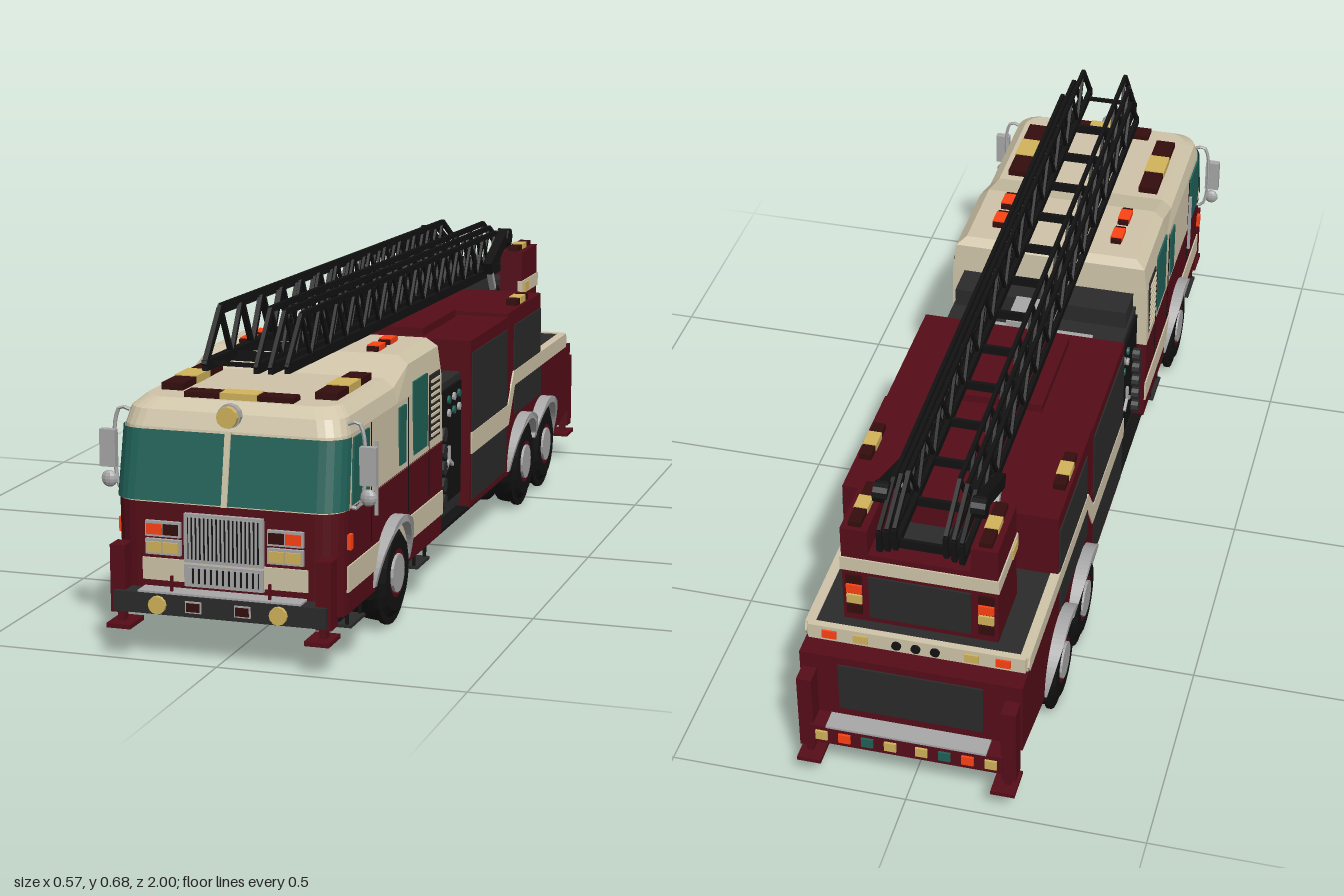
import * as THREE from 'three';

const RED = 0x560d18, CREAM = 0xd0c5a9, TEAL = 0x1f6258, DARK = 0x2b2b2b, BLACK = 0x121212;
const SILVER = 0xa8a8a8, ORANGE = 0xff4314, AMBER = 0xd2b45c, LENS = 0x350d0d;

export function createModel() {
  const root = new THREE.Group(), mats = {};
  let group = root;
  const mat = (c) => (mats[c] ??= new THREE.MeshStandardMaterial({ color: c, flatShading: true, side: THREE.DoubleSide }));
  const part = (name) => { group = new THREE.Group(); group.name = name; root.add(group); };
  const add = (name, color, geo) => {
    const m = new THREE.Mesh(geo, mat(color));
    m.name = name; group.add(m); return m;
  };
  // Box from ranges; pair() repeats it on both sides
  const box = (name, c, [x0, x1], [y0, y1], [z0, z1]) => add(name, c, new THREE.BoxGeometry(Math.abs(x1 - x0), y1 - y0, Math.abs(z1 - z0))
    .translate((x0 + x1) / 2, (y0 + y1) / 2, (z0 + z1) / 2));
  const pair = (name, c, [x0, x1], y, z) => [1, -1].forEach((s) => box(name, c, [s * x0, s * x1], y, z));
  const bar = (name, c, a, b, t, u = t) => {
    const A = new THREE.Vector3(...a), B = new THREE.Vector3(...b);
    const m = add(name, c, new THREE.BoxGeometry(t, u, A.distanceTo(B)));
    m.position.copy(A).add(B).multiplyScalar(0.5); m.lookAt(B);
  };
  // Cylinder lying along x or z
  const disc = (name, c, r, depth, x, y, z, axis = 'z', n = 12) => {
    const g = new THREE.CylinderGeometry(r, r, depth, n);
    add(name, c, (axis === 'z' ? g.rotateX(Math.PI / 2) : g.rotateZ(Math.PI / 2)).translate(x, y, z));
  };
  // Side outline of (z, y), extruded across x
  const extrude = (name, c, shape, x0, x1) => add(name, c, new THREE.ExtrudeGeometry(shape,
    { depth: x1 - x0, bevelEnabled: false, curveSegments: 14 }).rotateY(-Math.PI / 2).translate(x1, 0, 0));
  const outline = (pts) => new THREE.Shape(pts.map((p) => new THREE.Vector2(...p)));
  const plates = (name, c, pts, x, t = 0.004) => [x, -x - t].forEach((x0) => extrude(name, c, outline(pts), x0, x0 + t));
  const rect = (z0, z1, y0, y1) => [[z0, y0], [z1, y0], [z1, y1], [z0, y1]];

  // Cab: rounded plan outlines stacked upwards, the last one closed as a roof
  const arc = (w, zf, r) => Array.from({ length: 6 }, (_, i) => {
    const a = i / 5 * Math.PI / 2;
    return [w - r + r * Math.sin(a), zf - r + r * Math.cos(a)];
  });
  const loft = (name, c, rings, closed) => {
    const n = rings[0].length, idx = [], o = (rings.length - 1) * n;
    for (let k = 0; k < rings.length - 1; k++) for (let i = 0; i < (closed ? n : n - 1); i++) {
      const a = k * n + i, b = k * n + (i + 1) % n;
      idx.push(a, b, b + n, a, b + n, a + n);
    }
    if (closed) for (let i = 0; i < n / 2 - 1; i++) {
      const q = o + n - 1 - i;
      idx.push(o + i, o + i + 1, q - 1, o + i, q - 1, q);
    }
    const g = new THREE.BufferGeometry();
    g.setAttribute('position', new THREE.Float32BufferAttribute(rings.flat(2), 3));
    g.setIndex(idx); g.computeVertexNormals();
    add(name, c, g);
  };
  const cabRing = (w, zf, zb, r, y, step = 0) => {
    const half = [...arc(w, zf, r), [w, 0.57], [w, 0.47], [w, 0.3], [w, zb]]
      .map(([x, z]) => [x, y + step * THREE.MathUtils.clamp((0.57 - z) / 0.1, 0, 1), z]);
    return [...half, ...half.map(([x, h, z]) => [-x, h, z]).reverse()];
  };
  const glassRing = (w, zf, y) => {
    const a = arc(w, zf, 0.05).map(([x, z]) => [x, y, z]);
    return [...a.map(([x, , z]) => [-x, y, z]).reverse(), ...a];
  };
  part('cab');
  loft('lowerCab', RED, [cabRing(0.231, 0.947, 0.25, 0.05, 0.09), cabRing(0.233, 0.947, 0.25, 0.05, 0.297)], true);
  loft('upperCab', CREAM, [cabRing(0.233, 0.945, 0.25, 0.05, 0.295), cabRing(0.23, 0.918, 0.25, 0.05, 0.44),
    cabRing(0.222, 0.905, 0.252, 0.05, 0.472, 0.03), cabRing(0.2, 0.875, 0.265, 0.045, 0.491, 0.03)], true);
  loft('windshield', TEAL, [glassRing(0.2365, 0.9485, 0.3), glassRing(0.2335, 0.9225, 0.436)], false);
  bar('windshieldPost', CREAM, [0, 0.297, 0.948], [0, 0.44, 0.922], 0.012, 0.008);
  plates('doorWindow', TEAL, [[0.875, 0.302], [0.765, 0.302], [0.765, 0.432], [0.86, 0.432]], 0.231);
  plates('narrowWindow', TEAL, rect(0.52, 0.565, 0.31, 0.43), 0.231);
  plates('rearDoorWindow', TEAL, rect(0.365, 0.465, 0.31, 0.465), 0.23);
  plates('louvreFrame', DARK, rect(0.27, 0.345, 0.315, 0.455), 0.23, 0.003);
  for (let i = 0; i < 9; i++) plates('louvre', CREAM, rect(0.277, 0.338, 0.322 + i * 0.0145, 0.328 + i * 0.0145), 0.232);
  for (const z of [0.75, 0.5, 0.35]) plates('doorSeam', BLACK, rect(z, z + 0.003, 0.2, 0.44), 0.2325, 0.0015);
  pair('grabRail', SILVER, [0.236, 0.243], [0.25, 0.4], [0.735, 0.741]);
  plates('cabStripe', CREAM, rect(0.25, 0.9, 0.135, 0.187), 0.231);
  pair('markerLight', ORANGE, [0.23, 0.24], [0.22, 0.25], [0.885, 0.9]);
  for (const z of [0.84, 0.395]) pair('cabStep', DARK, [0.19, 0.235], [0.06, 0.066], [z - 0.045, z + 0.045]);
  for (const z of [0.8, 0.88, 0.355, 0.435]) pair('stepHanger', BLACK, [0.222, 0.228], [0.062, 0.1], [z - 0.003, z + 0.003]);

  // Roof lights: dark housing with a bright middle
  const beacon = (x, y, z, wx, wz, h, c, f) => {
    const gx = wx > wz ? wx * f : wx + 0.003, gz = wx > wz ? wz + 0.003 : wz * f;
    box('lightBar', LENS, [x - wx / 2, x + wx / 2], [y, y + h], [z - wz / 2, z + wz / 2]);
    box('lightLens', c, [x - gx / 2, x + gx / 2], [y, y + h + 0.002], [z - gz / 2, z + gz / 2]);
  };
  part('lights');
  beacon(0, 0.485, 0.845, 0.225, 0.04, 0.017, AMBER, 0.34);
  for (const s of [1, -1]) {
    beacon(s * 0.16, 0.488, 0.7, 0.045, 0.22, 0.017, AMBER, 0.33);
    for (const z of [0.345, 0.425]) beacon(s * 0.14, 0.518, z, 0.024, 0.06, 0.013, ORANGE, 0.7);
    beacon(s * 0.207, 0.478, -0.48, 0.026, 0.11, 0.014, AMBER, 0.4);
    beacon(s * 0.133, 0.563, -0.78, 0.026, 0.13, 0.012, AMBER, 0.3);
  }
  disc('bell', AMBER, 0.021, 0.035, 0, 0.47, 0.915);
  disc('bellRim', SILVER, 0.024, 0.015, 0, 0.47, 0.912);

  // Front face: grille, lamps, bumper and mirrors
  part('frontFace');
  box('frontStripe', CREAM, [-0.17, 0.17], [0.143, 0.187], [0.94, 0.951]);
  for (const [y0, y1, n, w] of [[0.185, 0.282, 17, 0.004], [0.137, 0.181, 12, 0.007]]) {
    box('grilleFrame', SILVER, [-0.081, 0.081], [y0, y1], [0.94, 0.957]);
    box('grilleOpening', BLACK, [-0.073, 0.073], [y0 + 0.007, y1 - 0.007], [0.945, 0.958]);
    for (let i = 0; i < n; i++) {
      const x = -0.068 + 0.136 * i / (n - 1);
      box('grilleBar', SILVER, [x - w / 2, x + w / 2], [y0 + 0.005, y1 - 0.005], [0.95, 0.961]);
    }
  }
  for (const [y, inner, outer] of [[0.231, LENS, ORANGE], [0.195, AMBER, AMBER]]) {
    pair('lampFrame', SILVER, [0.089, 0.162], [y, y + 0.031], [0.94, 0.955]);
    pair('innerLamp', inner, [0.093, 0.124], [y + 0.005, y + 0.026], [0.95, 0.959]);
    pair('outerLamp', outer, [0.127, 0.158], [y + 0.005, y + 0.026], [0.95, 0.959]);
  }
  box('frontBumper', DARK, [-0.218, 0.218], [0.085, 0.126], [0.9, 0.988]);
  box('bumperTread', SILVER, [-0.167, 0.167], [0.126, 0.13], [0.945, 0.985]);
  pair('towPin', RED, [0.098, 0.103], [0.126, 0.16], [0.97, 0.976]);
  pair('bumperLightFrame', SILVER, [0.034, 0.067], [0.094, 0.117], [0.98, 0.991]);
  pair('bumperLight', LENS, [0.037, 0.064], [0.097, 0.114], [0.98, 0.993]);
  pair('mirror', SILVER, [0.252, 0.285], [0.345, 0.42], [0.87, 0.886]);
  for (const s of [1, -1]) {
    disc('fogLight', AMBER, 0.018, 0.012, s * 0.124, 0.105, 0.99);
    const path = new THREE.CatmullRomCurve3([[0.225, 0.46], [0.245, 0.465], [0.256, 0.44], [0.256, 0.33], [0.245, 0.297], [0.228, 0.297]]
      .map(([x, y]) => new THREE.Vector3(s * x, y, 0.87)));
    add('mirrorBracket', SILVER, new THREE.TubeGeometry(path, 16, 0.004, 6));
    add('roundMirror', SILVER, new THREE.SphereGeometry(0.017, 10, 8).scale(1, 1, 0.6).translate(s * 0.268, 0.32, 0.878));
  }
  // Corner jacks with foot plates
  part('jacks');
  for (const [e, top] of [[1, 0.215], [-1, 0.26]]) {
    pair('jackHousing', RED, [0.195, 0.226], [0.08, top], [e * 0.94, e * 0.98]);
    pair('jackLeg', RED, [0.2, 0.214], [0.06, 0.1], [e * 0.955, e * 0.975]);
    pair('jackFoot', RED, [0.178, 0.228], [0.053, 0.062], [e * 0.93, e]);
  }
  // Pump bay between cab and body
  part('pumpBay');
  box('pumpCore', DARK, [-0.205, 0.205], [0.1, 0.4], [-0.01, 0.26]);
  box('pumpHousing', DARK, [-0.2, 0.2], [0.4, 0.442], [0.16, 0.24]);
  plates('pumpPanel', BLACK, rect(0.025, 0.24, 0.13, 0.385), 0.205, 0.006);
  box('waterCannonBox', SILVER, [-0.05, 0.05], [0.39, 0.462], [0.04, 0.14]);
  box('waterCannonCore', DARK, [-0.055, 0.055], [0.405, 0.447], [0.058, 0.122]);
  bar('waterCannonPipe', SILVER, [-0.14, 0.415, 0.08], [0.14, 0.415, 0.08], 0.014);
  for (const x of [0.213, -0.213]) {
    for (let i = 0; i < 6; i++) disc('gauge', i % 2 ? SILVER : TEAL, 0.009, 0.006, x, i < 3 ? 0.36 : 0.33, 0.05 + (i % 3) * 0.04, 'x');
    for (let i = 0; i < 5; i++) disc('outlet', DARK, 0.016, 0.03, x, 0.15 + i * 0.037, 0.205, 'x', 10);
    for (const a of [1.57, 3.67, 5.76]) bar('valveSpoke', SILVER, [x, 0.225, 0.13],
      [x, 0.225 + 0.032 * Math.sin(a), 0.13 + 0.032 * Math.cos(a)], 0.008);
  }
  // Equipment body and rear deck
  part('body');
  box('frontLocker', RED, [-0.228, 0.228], [0.09, 0.47], [0.01, -0.308]);
  box('rearLocker', RED, [-0.228, 0.228], [0.2, 0.478], [-0.314, -0.628]);
  box('roofHatch', RED, [-0.11, 0.11], [0.47, 0.488], [-0.02, -0.28]);
  extrude('lowerBody', RED, outline([[-0.3, 0.09], [-0.3, 0.298], [-0.94, 0.298], [-0.94, 0.13], [-0.72, 0.09]]), -0.23, 0.23);
  box('rearDeck', DARK, [-0.222, 0.222], [0.29, 0.331], [-0.6, -0.888]);
  plates('frontShutter', DARK, rect(-0.3, 0, 0.105, 0.442), 0.227);
  plates('upperRearShutter', DARK, rect(-0.622, -0.37, 0.33, 0.442), 0.227);
  plates('lowerRearShutter', DARK, rect(-0.622, -0.37, 0.228, 0.297), 0.229);
  plates('bodyStripe', CREAM, [[0.008, 0.213], [-0.315, 0.213], [-0.37, 0.298], [-0.885, 0.298], [-0.893, 0.312], [-0.885, 0.333],
    [-0.36, 0.333], [-0.308, 0.262], [0.008, 0.262]], 0.2285);
  pair('deckRail', CREAM, [0.212, 0.229], [0.298, 0.333], [-0.628, -0.888]);
  box('rearStripe', CREAM, [-0.225, 0.225], [0.298, 0.333], [-0.88, -0.895]);
  for (const x of [-0.04, 0, 0.04]) disc('rearPort', BLACK, 0.01, 0.006, x, 0.315, -0.897);
  for (const [x, c] of [[0.1, AMBER], [0.165, ORANGE]]) pair('deckLight', c, [x, x + 0.03], [0.306, 0.325], [-0.89, -0.899]);
  box('rearPanel', DARK, [-0.15, 0.15], [0.165, 0.28], [-0.935, -0.944]);
  box('rearBumper', RED, [-0.2, 0.2], [0.1, 0.145], [-0.9, -0.985]);
  box('rearStep', SILVER, [-0.167, 0.167], [0.145, 0.15], [-0.945, -0.988]);
  [AMBER, TEAL, ORANGE, AMBER].forEach((c, i) => pair('rearLight', c, [0.02 + i * 0.048, 0.045 + i * 0.048], [0.112, 0.134], [-0.98, -0.99]));
  box('underside', BLACK, [-0.226, 0.226], [0.085, 0.092], [0.93, -0.74]);

  // Twin tyres with raised arches; the rear arches meet between the axles
  part('wheels');
  const tyre = [[0.05, -0.035], [0.078, -0.035], [0.098, -0.02], [0.1, 0], [0.098, 0.02], [0.078, 0.035], [0.05, 0.035]].map((p) => new THREE.Vector2(...p));
  for (const [z, lo, hi] of [[0.614, 0, Math.PI], [-0.43, 0, Math.PI - 0.35], [-0.63, 0.35, Math.PI]]) for (const s of [1, -1]) {
    for (const x of [0.14, 0.21]) add('tyre', BLACK, new THREE.LatheGeometry(tyre, 18).rotateZ(Math.PI / 2).translate(s * x, 0.1, z));
    disc('rim', RED, 0.062, 0.12, s * 0.182, 0.1, z, 'x', 18);
    disc('hub', SILVER, 0.04, 0.13, s * 0.183, 0.1, z, 'x', 14);
    disc('wheelWell', BLACK, 0.106, 0.01, s * 0.23, 0.1, z, 'x', 24);
    const ring = new THREE.Shape().absarc(z, 0.1, 0.12, lo, hi, false).absarc(z, 0.1, 0.105, hi, lo, true);
    const p = extrude('wheelArch', SILVER, ring, s * 0.24 - 0.015, s * 0.24 + 0.015).geometry.attributes.position;
    for (let i = 0; i < p.count; i++) if (Math.abs(p.getX(i)) > 0.24)
      p.setX(i, s * (0.235 + 0.022 * THREE.MathUtils.clamp((p.getY(i) - 0.1) / 0.1, 0, 1)));
  }
  // Ladder tower
  part('tower');
  pair('towerPillar', RED, [0.105, 0.16], [0.33, 0.564], [-0.705, -0.855]);
  box('towerBack', RED, [-0.16, 0.16], [0.33, 0.505], [-0.8, -0.855]);
  box('towerTurntable', DARK, [-0.1, 0.1], [0.33, 0.49], [-0.72, -0.8]);
  pair('towerSideStripe', CREAM, [0.15, 0.163], [0.46, 0.492], [-0.703, -0.857]);
  box('towerBackStripe', CREAM, [-0.163, 0.163], [0.46, 0.492], [-0.85, -0.858]);
  box('towerPanel', DARK, [-0.105, 0.105], [0.345, 0.45], [-0.85, -0.859]);
  [LENS, AMBER, ORANGE, LENS].forEach((c, i) => pair('tailLamp', c, [0.12, 0.152], [0.35 + i * 0.026, 0.371 + i * 0.026], [-0.85, -0.86]));
  pair('towerSideLight', AMBER, [0.158, 0.166], [0.465, 0.487], [-0.72, -0.755]);

  // Nested ladder sections: rails, zigzag braces and rungs
  part('ladder');
  for (const [x, tip, low, high] of [[0.052, 0.905, 0, 0.016], [0.068, 0.87, -0.006, 0.006], [0.084, 0.82, -0.012, -0.006]]) {
    const yb = (z) => 0.525 + low + (z + 0.84) * 0.022, yt = (z) => 0.612 + high + (z + 0.73) * 0.024;
    const back = -0.73, front = tip - 0.085, heel = yb(-0.84), n = 13, pitch = (front - back) / n;
    for (const s of [x, -x]) {
      bar('bottomRail', BLACK, [s, heel, -0.84], [s, yb(tip), tip], 0.01, 0.02);
      bar('topRail', BLACK, [s, yt(back), back], [s, yt(front), front], 0.008, 0.012);
      bar('tipBrace', BLACK, [s, yb(tip), tip], [s, yt(front), front], 0.008, 0.012);
      bar('heelBrace', BLACK, [s, heel + 0.045, -0.84], [s, yt(back), back], 0.008, 0.012);
      bar('heelPost', BLACK, [s, heel, -0.84], [s, heel + 0.045, -0.84], 0.01, 0.014);
      for (let i = 0; i < n; i++) for (const d of [0, 1]) {
        const zt = back + (i + d) * pitch, zm = back + (i + 0.5) * pitch;
        bar('brace', BLACK, [s, yt(zt), zt], [s, yb(zm), zm], 0.006, 0.009);
      }
    }
    for (let z = -0.82; z < tip; z += 0.13) bar('rung', BLACK, [-x, yb(z), z], [x, yb(z), z], 0.008);
  }
  // Lifting rams and pivot arms
  for (const x of [0.1, -0.1]) {
    bar('ramBarrel', BLACK, [x, 0.36, -0.725], [x, 0.48, -0.655], 0.024);
    bar('ramRod', SILVER, [x, 0.47, -0.66], [x, 0.53, -0.62], 0.014);
    bar('pivotArm', BLACK, [x, 0.535, -0.6], [x, 0.6, -0.76], 0.022, 0.03);
    disc('pivot', BLACK, 0.022, 0.03, x, 0.592, -0.76, 'x');
  }
  return root;
}
